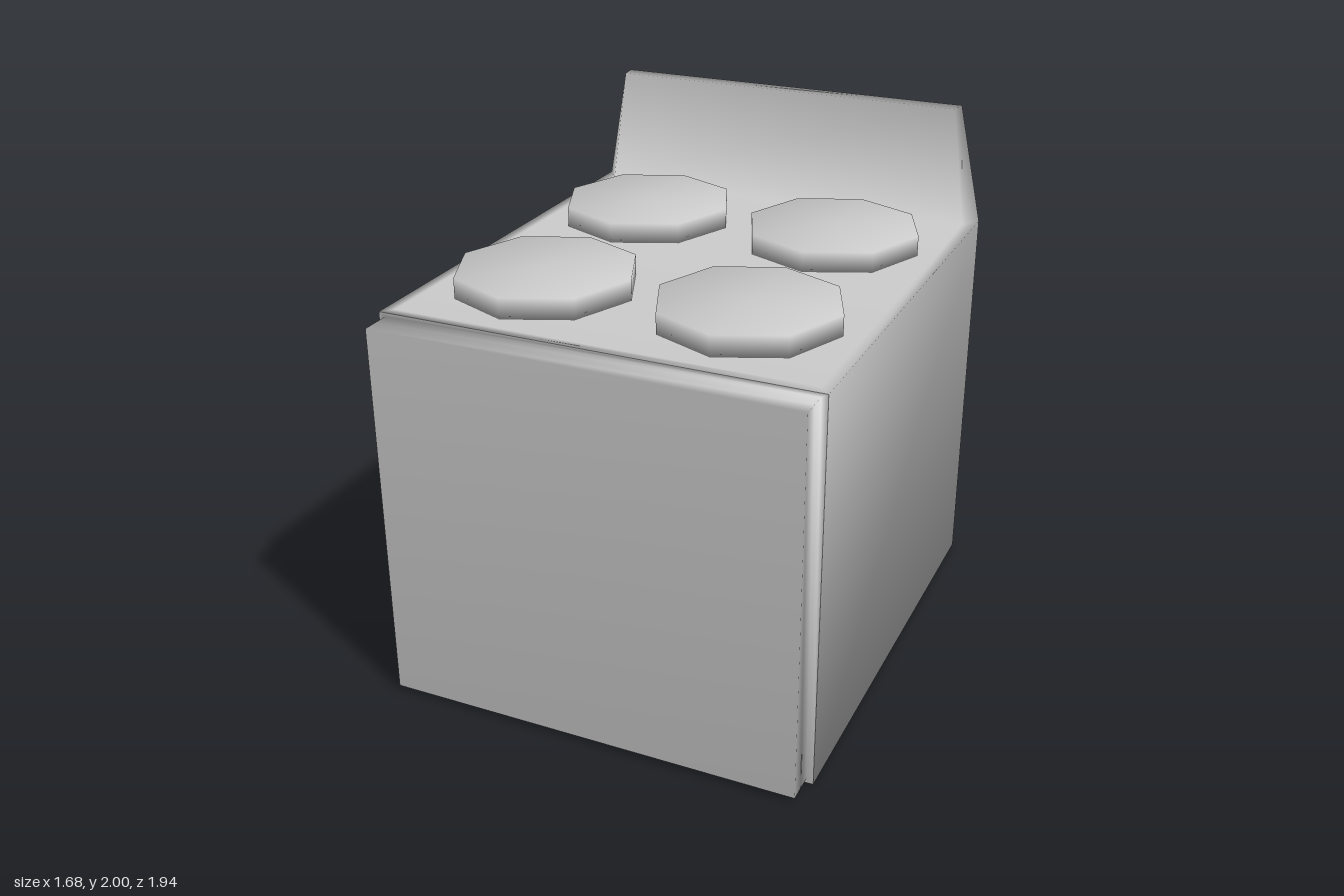
import * as THREE from 'three';
import { mergeVertices } from 'three/addons/utils/BufferGeometryUtils.js';

const material = new THREE.MeshStandardMaterial({ color: 0xcccccc });

// Welds all corners so the shading runs smoothly over the edges.
function weld(geometry) {
  geometry.deleteAttribute('normal');
  geometry.deleteAttribute('uv');
  const welded = mergeVertices(geometry, 1e-4);
  welded.computeVertexNormals();
  return welded;
}

// Builds a surface from four-cornered faces.
function fromQuads(quads) {
  const pos = [];
  for (const [a, b, c, d] of quads) pos.push(...a, ...b, ...c, ...a, ...c, ...d);
  const g = new THREE.BufferGeometry();
  g.setAttribute('position', new THREE.Float32BufferAttribute(pos, 3));
  return weld(g);
}

function addMesh(parent, name, geometry) {
  const mesh = new THREE.Mesh(geometry, material);
  mesh.name = name;
  parent.add(mesh);
  return mesh;
}

const W = 0.84, H = 1.53, FRONT = 0.85, BACK = -0.97;

// Cabinet with an inset cooktop and a tapering back panel
function bodyGeometry() {
  const IN = 0.80, INB = 0.79, zi = 0.81, zp = -0.90, TF = 0.725, TB = 0.735;
  // Face spanning the middle: lower edge (half width, y, z), upper edge (half width, y, z)
  const span = ([w0, y0, z0], [w1, y1, z1]) =>
    [[-w0, y0, z0], [w0, y0, z0], [w1, y1, z1], [-w1, y1, z1]];
  const quads = [
    span([W, 0, BACK], [W, 0, FRONT]),     // underside
    span([W, H, BACK], [W, 0, BACK]),      // back
    span([TB, 2, BACK], [W, H, BACK]),     // back of the panel
    span([W, H, FRONT], [IN, H, zi]),      // front rim
    span([IN, H, zi], [INB, H, zp]),       // cooktop
    span([INB, H, zp], [TF, 2, zp]),       // front of the panel
    span([TF, 2, zp], [TB, 2, BACK]),      // top of the panel
  ];
  const sides = [
    [[W, 0, FRONT], [W, 0, BACK], [W, H, BACK], [W, H, FRONT]],
    [[W, H, FRONT], [W, H, BACK], [INB, H, zp], [IN, H, zi]],
    [[INB, H, zp], [W, H, BACK], [TB, 2, BACK], [TF, 2, zp]],
  ];
  for (const q of sides) {
    quads.push(q, q.map(([x, y, z]) => [-x, y, z]).reverse());
  }
  return fromQuads(quads);
}

// Door slab with the narrow front frame around it
function doorGeometry() {
  const ring = (w, y0, y1, z) => [[-w, y0, z], [w, y0, z], [w, y1, z], [-w, y1, z]];
  const rings = [
    ring(W, 0, H, FRONT),
    ring(0.815, 0.02, 1.515, FRONT),
    ring(0.815, 0.02, 1.515, 0.91),
    ring(0.815, 0.02, 1.515, 0.97),
  ];
  const quads = [rings[3]];
  for (let r = 0; r < 3; r++) {
    for (let i = 0; i < 4; i++) {
      const j = (i + 1) % 4;
      quads.push([rings[r][i], rings[r][j], rings[r + 1][j], rings[r + 1][i]]);
    }
  }
  return fromQuads(quads);
}

export function createModel() {
  const group = new THREE.Group();
  group.name = 'stove';
  addMesh(group, 'cabinetAndBackPanel', bodyGeometry());
  addMesh(group, 'ovenDoor', doorGeometry());

  // Four octagonal burners
  const burners = new THREE.Group();
  burners.name = 'burners';
  group.add(burners);
  const burner = weld(new THREE.CylinderGeometry(0.345, 0.345, 0.08, 8));
  for (const x of [-0.415, 0.385]) {
    for (const z of [-0.47, 0.395]) {
      addMesh(burners, 'burner', burner).position.set(x, 1.57, z);
    }
  }
  return group;
}
